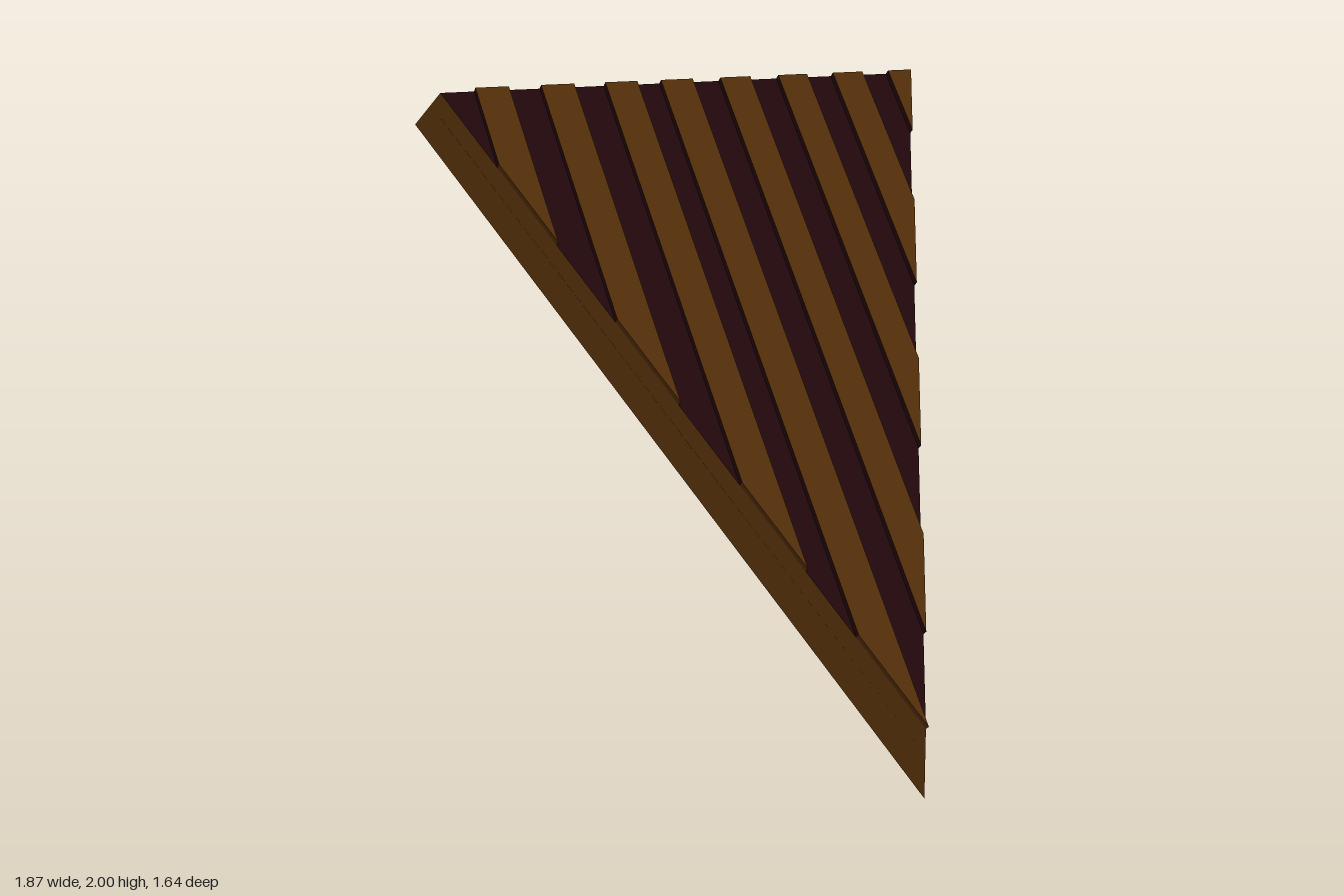
import * as THREE from 'three';

const brown = new THREE.MeshStandardMaterial({ name: 'brown wood', color: 0x502d09, side: THREE.DoubleSide });
const dark = new THREE.MeshStandardMaterial({ name: 'dark maroon', color: 0x20070b, side: THREE.DoubleSide });

// Roof plane: tip at the bottom front, straight edge at the top back
const TIP = { y: 0.225, z: 0.8 };
const TOP = { y: 1.985, z: -0.72, x: 0.878 };
const RIDGE = 0.02; // height of the raised ribs above the sheet
const DEPTH = 0.055; // depth of the underside below the sheet
const slope = new THREE.Vector3(0, TOP.y - TIP.y, TOP.z - TIP.z);
const normal = new THREE.Vector3(1, 0, 0).cross(slope).normalize();

// Point on the sheet at x, with t from 0 (tip) to 1 (top edge), raised by h
function onSheet(x, t, h = 0) {
  return new THREE.Vector3(x, TIP.y, TIP.z).addScaledVector(slope, t).addScaledVector(normal, h);
}

// One flat-shaded mesh from a list of four-cornered faces
function quadMesh(name, material, quads) {
  const points = quads.flatMap(([a, b, c, d]) => [a, b, c, a, c, d]);
  const geometry = new THREE.BufferGeometry().setFromPoints(points);
  geometry.computeVertexNormals();
  const mesh = new THREE.Mesh(geometry, material);
  mesh.name = name;
  return mesh;
}

export function createModel() {
  const group = new THREE.Group();
  group.name = 'triangularRoofPanel';

  // Open frame of three thin walls hanging below the sheet
  const lowTip = new THREE.Vector3(0, 0, 0.8);
  const lowLeft = new THREE.Vector3(0.935, 1.88, -0.82);
  const lowRight = new THREE.Vector3(-0.935, 1.88, -0.82);
  const tip = onSheet(0, 0);
  const left = onSheet(TOP.x, 1);
  const right = onSheet(-TOP.x, 1);
  group.add(
    quadMesh('leftWall', brown, [[lowTip, lowLeft, left, tip]]),
    quadMesh('rightWall', brown, [[lowRight, lowTip, tip, right]]),
    quadMesh('topWall', brown, [[lowLeft, lowRight, right, left]]),
  );

  // Corrugated sheet: alternating low grooves and raised ribs, cut to the triangle
  const edges = [-TOP.x, -0.767, -0.655, -0.545, -0.43, -0.32, -0.205, -0.118, 0,
    0.105, 0.22, 0.33, 0.445, 0.55, 0.672, 0.78, TOP.x];
  const start = (x) => Math.abs(x) / TOP.x;
  // The underside starts further down so that it meets the upright side walls
  const shift = normal.z * DEPTH / (TIP.z - TOP.z);
  const under = (x) => onSheet(x, start(x) - shift, -DEPTH);

  const grooves = [], ribs = [], ribEnds = [], ribSides = [], underGrooves = [], underRibs = [];
  for (let i = 0; i < edges.length - 1; i++) {
    const a = edges[i], b = edges[i + 1];
    const raised = i % 2 === 1;
    const h = raised ? RIDGE : 0;
    const a0 = onSheet(a, start(a), h), b0 = onSheet(b, start(b), h);
    const a1 = onSheet(a, 1, h), b1 = onSheet(b, 1, h);
    (raised ? ribs : grooves).push([a0, b0, b1, a1]);
    (raised ? underRibs : underGrooves).push(
      [under(b), under(a), onSheet(a, 1, -DEPTH), onSheet(b, 1, -DEPTH)]);
    if (!raised) continue;
    // Brown lower end, dark flanks and dark upper end of the rib
    const aLow = onSheet(a, start(a)), bLow = onSheet(b, start(b));
    const aTop = onSheet(a, 1), bTop = onSheet(b, 1);
    ribEnds.push([aLow, bLow, b0, a0]);
    ribSides.push([a0, a1, aTop, aLow], [bLow, bTop, b1, b0], [bTop, aTop, a1, b1]);
  }
  group.add(
    quadMesh('sheetGrooves', dark, grooves),
    quadMesh('sheetRibs', brown, ribs),
    quadMesh('ribLowerEnds', brown, ribEnds),
    quadMesh('ribSides', dark, ribSides),
    quadMesh('undersideDarkStripes', dark, underGrooves),
    quadMesh('undersideBrownStripes', brown, underRibs),
  );
  return group;
}
